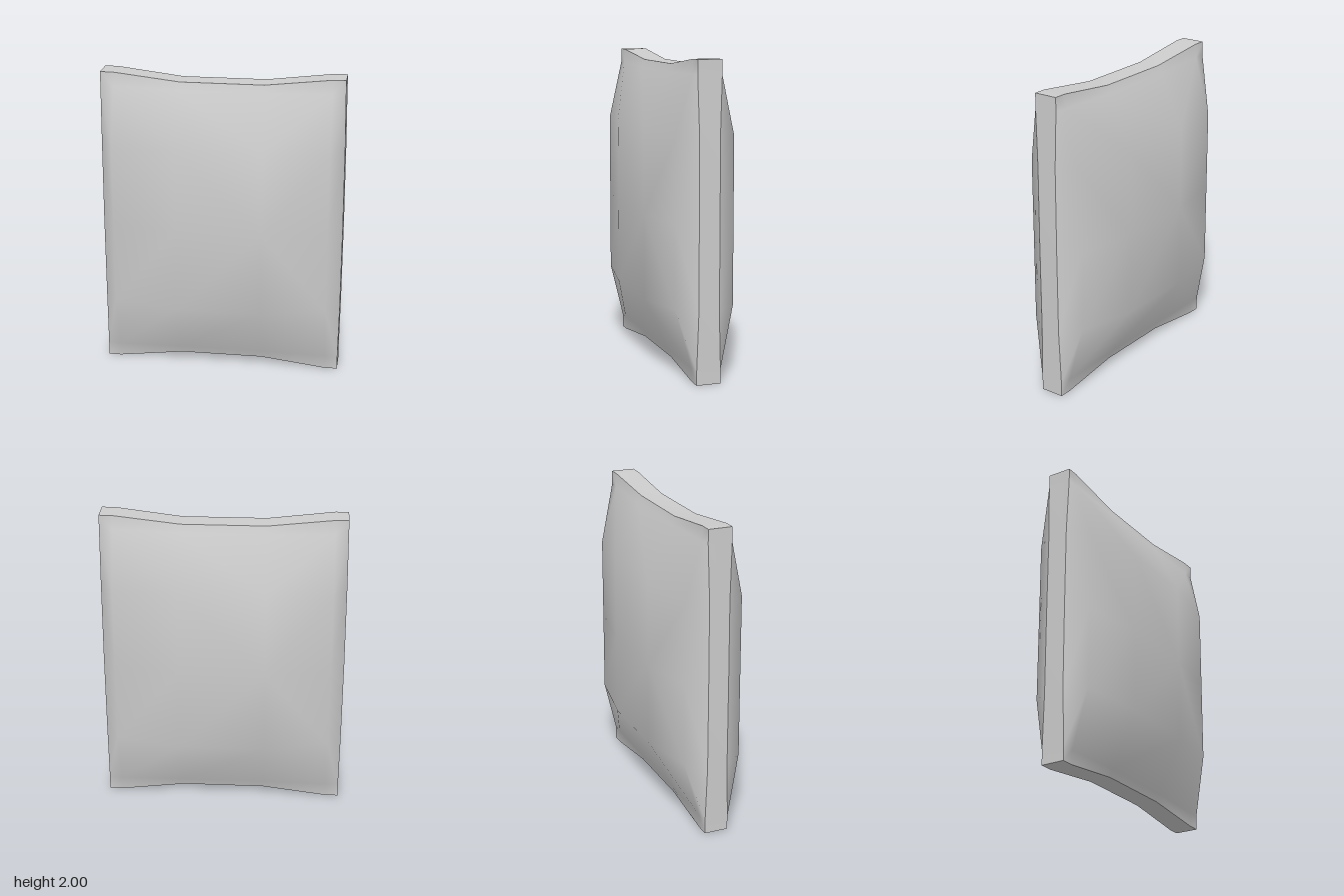
import * as THREE from 'three';

// One quadrant of the cushion: rows run from the middle to the top hem,
// columns from the centre to the side hem; each entry is [x, y, z].
const QUADRANT = [
  [[0.28, 0, 0.255], [0.70, 0, 0.19], [0.79, 0, 0.067]],
  [[0.28, 0.55, 0.255], [0.70, 0.53, 0.19], [0.788, 0.55, 0.067]],
  [[0.28, 0.90, 0.09], [0.70, 0.91, 0.082], [0.783, 0.91, 0.078]],
  [[0.27, 0.95, 0.072], [0.70, 1.0, 0.078], [0.783, 1.0, 0.078]],
];
const COLS = [-3, -2, -1, 1, 2, 3];
const ROWS = [-3, -2, -1, 0, 1, 2, 3];

// Mirror the quadrant to any signed column, row and side
function point(c, r, side) {
  const [x, y, z] = QUADRANT[Math.abs(r)][Math.abs(c) - 1];
  return [Math.sign(c) * x, 1 + Math.sign(r) * y, side * z];
}

// Smooth surface over a grid of points; diagonal(i, j) picks the split of a cell
function surface(grid, diagonal = () => true) {
  const n = grid[0].length;
  const index = [];
  for (let j = 0; j < grid.length - 1; j++) {
    for (let i = 0; i < n - 1; i++) {
      const a = j * n + i, b = a + 1, d = a + n, c = d + 1;
      if (diagonal(i, j)) index.push(a, b, c, a, c, d);
      else index.push(a, b, d, b, c, d);
    }
  }
  const geometry = new THREE.BufferGeometry();
  geometry.setAttribute('position', new THREE.Float32BufferAttribute(grid.flat(2), 3));
  geometry.setIndex(index);
  geometry.computeVertexNormals();
  return geometry;
}

export function createModel() {
  const cushion = new THREE.Group();
  cushion.name = 'cushion';
  const material = new THREE.MeshStandardMaterial({ color: 0xcccccc });
  const add = (name, geometry) => {
    const mesh = new THREE.Mesh(geometry, material);
    mesh.name = name;
    cushion.add(mesh);
  };

  // Padded faces, with cell diagonals running from the corners to the centre
  const toCentre = (i, j) => (i < 3) === (j < 3);
  add('frontPad', surface(ROWS.map(r => COLS.map(c => point(c, r, 1))), toCentre));
  add('backPad', surface(ROWS.map(r => COLS.map(c => point(-c, r, -1))), toCentre));

  // Flat hem strips around the four edges
  for (const s of [1, -1]) {
    add(s > 0 ? 'topHem' : 'bottomHem',
      surface([1, -1].map(side => COLS.map(c => point(s * c, s * 3, side)))));
    add(s > 0 ? 'leftHem' : 'rightHem',
      surface([1, -1].map(side => ROWS.map(r => point(s * 3, -s * r, side)))));
  }
  return cushion;
}
